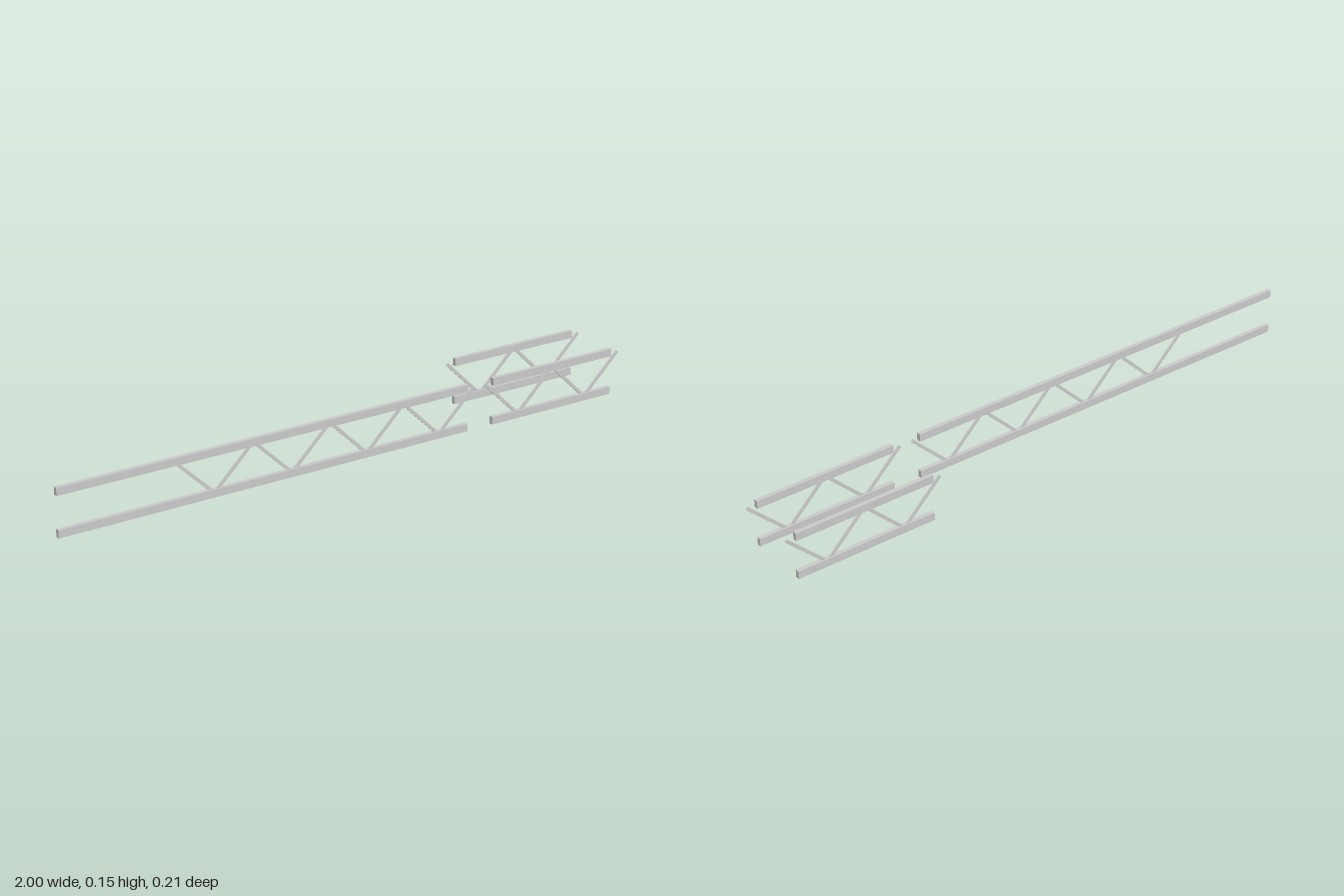
import * as THREE from 'three';

const material = new THREE.MeshStandardMaterial({ color: 0xcccccc, flatShading: true });
const CHORD_H = 0.025, CHORD_D = 0.014, TOP_Y = 0.142, BOTTOM_Y = 0.0125;

function addBox(group, name, w, h, d, x, y, angle = 0) {
  const mesh = new THREE.Mesh(new THREE.BoxGeometry(w, h, d), material);
  mesh.name = name;
  mesh.position.set(x, y, 0);
  mesh.rotation.z = angle;
  group.add(mesh);
}

// Diagonal web bar between two points in the truss plane
function addWeb(group, x0, y0, x1, y1) {
  const dx = x1 - x0, dy = y1 - y0;
  addBox(group, 'webBar', Math.hypot(dx, dy), 0.01, 0.005,
    (x0 + x1) / 2, (y0 + y1) / 2, Math.atan2(dy, dx));
}

// Two parallel chords joined by V-shaped pairs of web bars
function makeTruss(name, xStart, xEnd, firstV, count, z) {
  const truss = new THREE.Group();
  truss.name = name;
  const length = xEnd - xStart, mid = (xStart + xEnd) / 2;
  addBox(truss, 'topChord', length, CHORD_H, CHORD_D, mid, TOP_Y);
  addBox(truss, 'bottomChord', length, CHORD_H, CHORD_D, mid, BOTTOM_Y);
  for (let i = 0; i < count; i++) {
    const x = firstV + i * 0.2645;
    for (const side of [-1, 1]) addWeb(truss, x, 0.0125, x + side * 0.13, 0.1395);
  }
  truss.position.z = z;
  return truss;
}

export function createModel() {
  const model = new THREE.Group();
  model.name = 'openWebTrusses';
  model.add(makeTruss('longTruss', -1, 0.405, -0.494, 4, 0.1));
  model.add(makeTruss('shortFrontTruss', 0.5, 0.968, 0.603, 2, 0.1));
  model.add(makeTruss('shortBackTruss', 0.5, 0.968, 0.603, 2, -0.1));
  return model;
}
